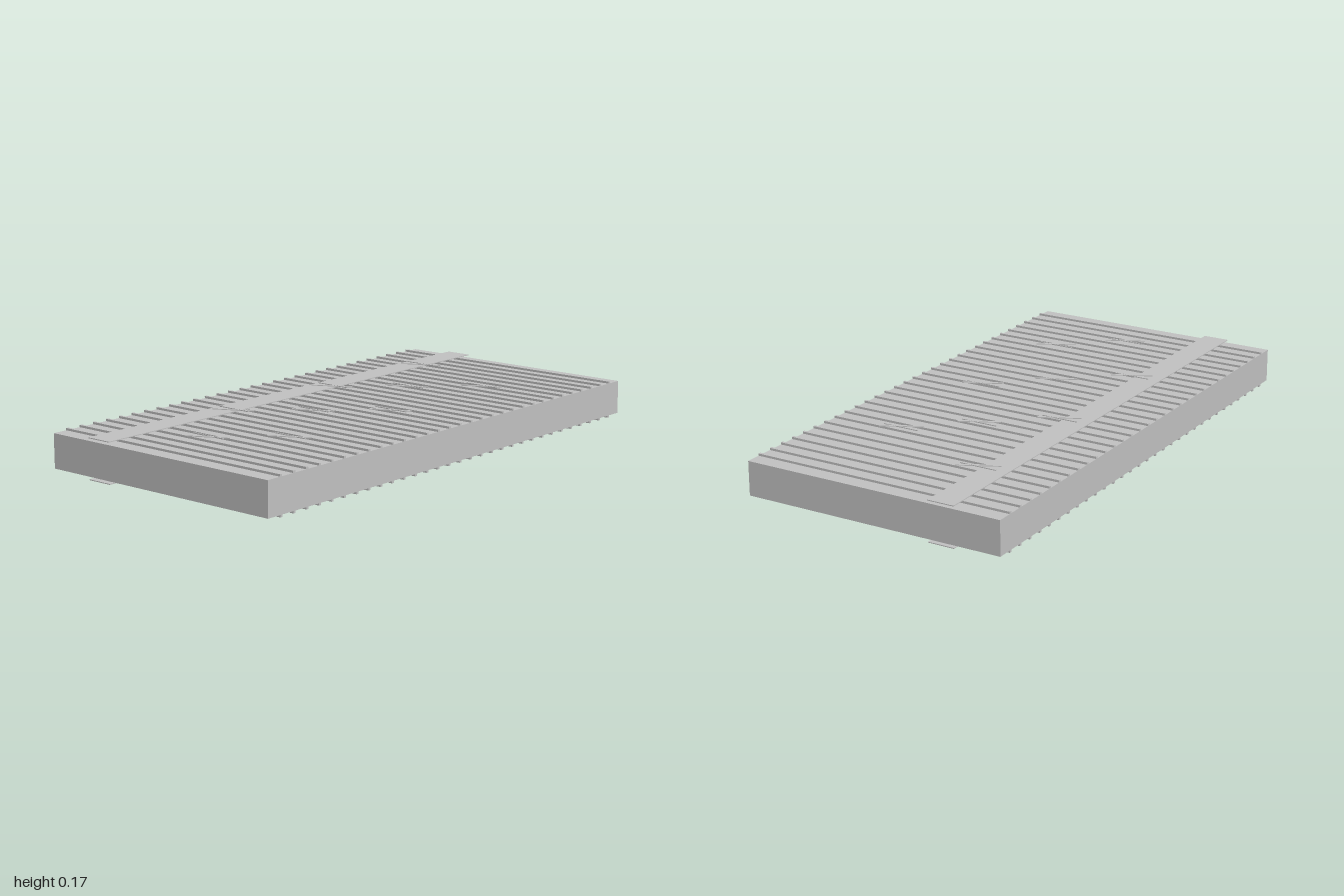
import * as THREE from 'three';

export function createModel() {
  const model = new THREE.Group();
  model.name = 'ribbedSlab';
  const grey = new THREE.MeshStandardMaterial({ color: 0xc0c0c0 });
  grey.name = 'plain grey';

  const MID = 0.0865; // height of the slab's middle plane

  function addBox(name, size, position, turn = 0) {
    const mesh = new THREE.Mesh(new THREE.BoxGeometry(...size), grey);
    mesh.name = name;
    mesh.position.set(...position);
    mesh.rotation.y = turn;
    model.add(mesh);
  }

  // Main slab
  addBox('slab', [2, 0.126, 1], [0, MID, 0]);

  // The same relief on the top and bottom faces
  for (const [face, side] of [['top', 1], ['bottom', -1]]) {
    const level = (offset) => MID + side * offset;

    // Narrow ribs running front to back
    for (let i = 1; i < 32; i++) {
      addBox(face + 'Rib', [0.01, 0.015, 1], [-1 + i / 16, level(0.0635), 0]);
    }

    // Cross band covering the ribs towards the back
    addBox(face + 'Band', [2, 0.003, 0.1], [0, level(0.0735), -0.275]);

    // Raised scratch marks, each a slanted and a straight stroke
    const rows = [0.005, 0.215, -0.217];
    for (let i = 0; i < 9; i++) {
      const x = -0.76 + 0.18 * i;
      const z = rows[i % 3];
      addBox(face + 'SlantedScratch', [0.01, 0.003, 0.155], [x, level(0.0845), z], 0.46);
      addBox(face + 'StraightScratch', [0.004, 0.003, 0.14], [x + 0.01, level(0.085), z - 0.006]);
    }
  }
  return model;
}
